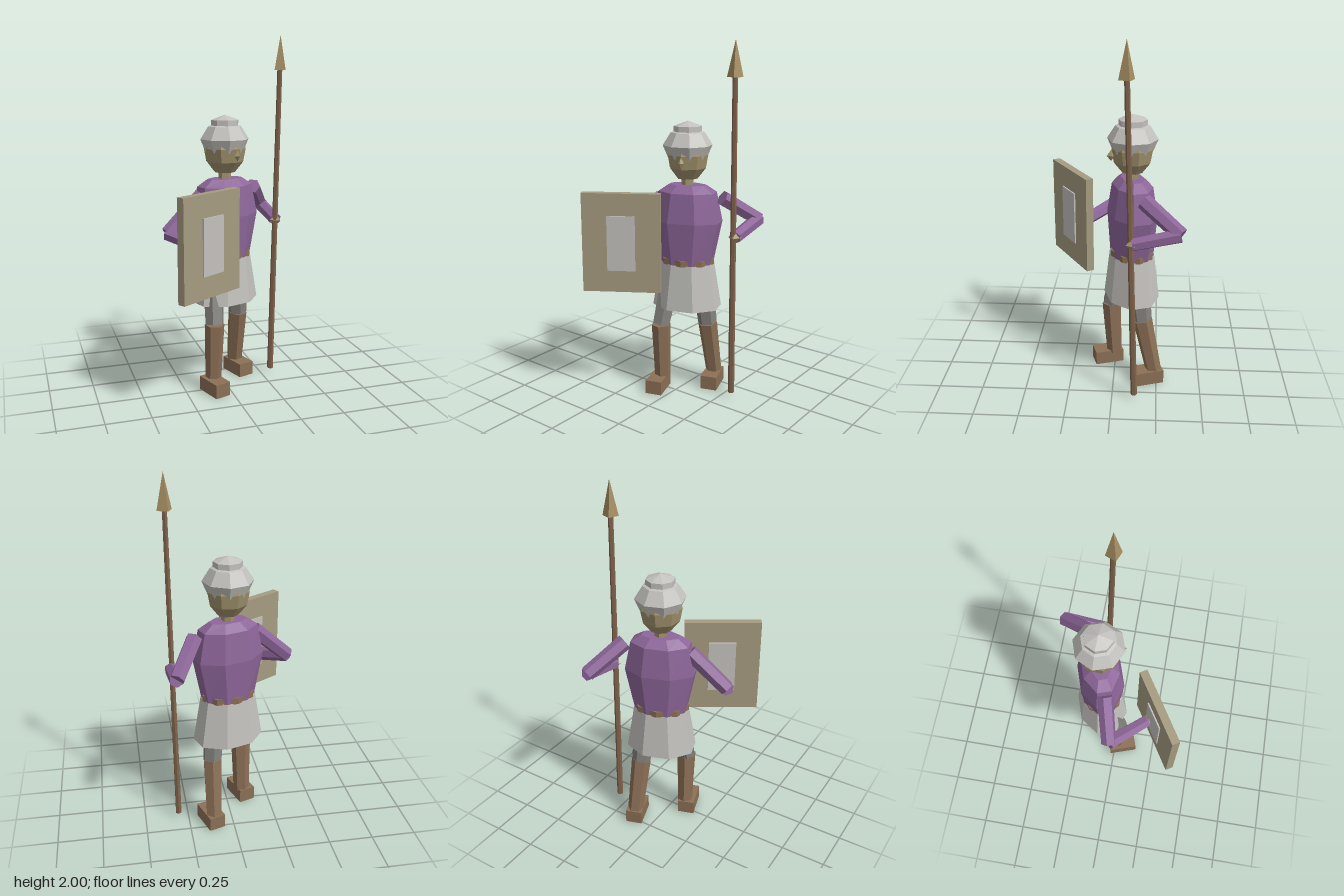
import * as THREE from 'three';

const mat = (name, color, side = THREE.FrontSide) =>
  new THREE.MeshStandardMaterial({ name, color, side, flatShading: true });

// Stacked polygon rings, listed bottom to top as [y, radiusX, radiusZ].
function loft(rings, sides, offset = 0) {
  const pos = [];
  const point = (r, j) => {
    const a = ((j + offset) / sides) * Math.PI * 2;
    return [Math.sin(a) * r[1], r[0], Math.cos(a) * r[2]];
  };
  for (let i = 0; i < rings.length - 1; i++) {
    for (let j = 0; j < sides; j++) {
      const a = point(rings[i], j), b = point(rings[i], j + 1);
      const c = point(rings[i + 1], j + 1), d = point(rings[i + 1], j);
      if (rings[i][1] > 0) pos.push(...a, ...b, ...c);
      if (rings[i + 1][1] > 0) pos.push(...a, ...c, ...d);
    }
  }
  const g = new THREE.BufferGeometry();
  g.setAttribute('position', new THREE.Float32BufferAttribute(pos, 3));
  g.computeVertexNormals();
  return g;
}

export function createModel() {
  const purple = mat('purple tunic', 0x8d6699);
  const steel = mat('pale steel', 0xc2c1bd, THREE.DoubleSide);
  const trousers = mat('grey trousers', 0x83827e);
  const leather = mat('brown leather', 0x8c7056);
  const wood = mat('spear wood', 0x80634c);
  const bronze = mat('bronze', 0xa68e62);
  const skin = mat('skin', 0xa0926c);
  const board = mat('shield board', 0xa69b81);

  const model = new THREE.Group();
  model.name = 'spearman';
  const yaw = 0.322;

  const add = (parent, name, geometry, material, p = [0, 0, 0], ry = 0) => {
    const m = new THREE.Mesh(geometry, material);
    m.name = name;
    m.position.set(...p);
    m.rotation.y = ry;
    parent.add(m);
    return m;
  };

  // Tapered prism running between two points
  const limb = (name, from, to, r0, r1, material, sides = 6) => {
    const a = new THREE.Vector3(...from), b = new THREE.Vector3(...to);
    const dir = b.clone().sub(a);
    const m = add(model, name, new THREE.CylinderGeometry(r1, r0, dir.length(), sides), material);
    m.position.copy(a).add(b).multiplyScalar(0.5);
    m.quaternion.setFromUnitVectors(new THREE.Vector3(0, 1, 0), dir.normalize());
    return m;
  };

  // Body, turned slightly to its left
  const body = new THREE.Group();
  body.name = 'body';
  body.position.set(0.01, 0, -0.098);
  body.rotation.y = yaw;
  model.add(body);

  add(body, 'torso', loft([
    [0.77, 0, 0], [0.77, 0.155, 0.118], [1.01, 0.207, 0.131],
    [1.175, 0.172, 0.106], [1.215, 0.11, 0.06], [1.215, 0, 0],
  ], 8, 0.5), purple);
  add(body, 'belt', loft([
    [0.765, 0, 0], [0.765, 0.158, 0.122], [0.8, 0.158, 0.122], [0.8, 0, 0],
  ], 8), leather);
  add(body, 'skirt', loft([[0.508, 0.203, 0.152], [0.77, 0.158, 0.122]], 8, 0.5), steel);

  // Head and helmet
  add(body, 'neck', loft([[1.19, 0.035, 0.035], [1.27, 0.035, 0.035]], 6), skin);
  add(body, 'head', loft([
    [1.245, 0, 0], [1.25, 0.058, 0.058], [1.31, 0.105, 0.105],
    [1.385, 0.119, 0.119], [1.45, 0.1, 0.1], [1.46, 0, 0],
  ], 8), skin);
  add(body, 'nose', new THREE.OctahedronGeometry(0.024), skin, [0, 1.35, 0.12]).scale.set(0.8, 1.3, 1);
  add(body, 'helmet', loft([
    [1.36, 0, 0], [1.36, 0.106, 0.106], [1.435, 0.138, 0.138], [1.505, 0.094, 0.094],
    [1.51, 0.078, 0.078], [1.54, 0.078, 0.078], [1.568, 0, 0],
  ], 8, 0.5), steel);

  // Legs, mid-stride
  const legs = [
    { side: 'left', hip: [0.086, 0.75, -0.123], knee: [0.11, 0.4, -0.165], ankle: [0.113, 0.07, -0.233], foot: [0.125, 0.04, -0.198] },
    { side: 'right', hip: [-0.066, 0.75, -0.073], knee: [-0.087, 0.4, 0.022], ankle: [-0.09, 0.07, 0.005], foot: [-0.093, 0.04, 0.045] },
  ];
  for (const l of legs) {
    limb(l.side + 'Thigh', l.hip, l.knee, 0.068, 0.054, trousers);
    limb(l.side + 'Boot', l.knee, l.ankle, 0.056, 0.046, leather);
    add(model, l.side + 'Foot', new THREE.BoxGeometry(0.095, 0.08, 0.168), leather, l.foot, yaw);
  }

  // Arms
  const arms = [
    { side: 'left', shoulder: [0.2, 1.15, -0.165], elbow: [0.315, 1.01, -0.36], hand: [0.322, 0.955, -0.11] },
    { side: 'right', shoulder: [-0.14, 1.13, -0.045], elbow: [-0.345, 0.94, 0.008], hand: [-0.17, 0.88, 0.19] },
  ];
  for (const a of arms) {
    limb(a.side + 'UpperArm', a.shoulder, a.elbow, 0.045, 0.042, purple);
    limb(a.side + 'Forearm', a.elbow, a.hand, 0.04, 0.036, purple);
    add(model, a.side + 'Hand', new THREE.OctahedronGeometry(0.038), skin, a.hand, yaw);
  }

  // Spear
  limb('spearShaft', [0.307, 0.03, -0.125], [0.325, 1.82, -0.077], 0.018, 0.014, wood);
  add(model, 'spearTip', new THREE.ConeGeometry(0.043, 0.19, 4), bronze, [0.326, 1.905, -0.075], 0.4);

  // Shield, with a metal plate showing on both faces
  const shield = new THREE.Group();
  shield.name = 'shield';
  shield.position.set(-0.178, 0.922, 0.251);
  shield.rotation.y = 0.557;
  model.add(shield);
  add(shield, 'shieldBoard', new THREE.BoxGeometry(0.43, 0.553, 0.044), board);
  add(shield, 'shieldPlate', new THREE.BoxGeometry(0.154, 0.307, 0.06), steel);

  return model;
}
